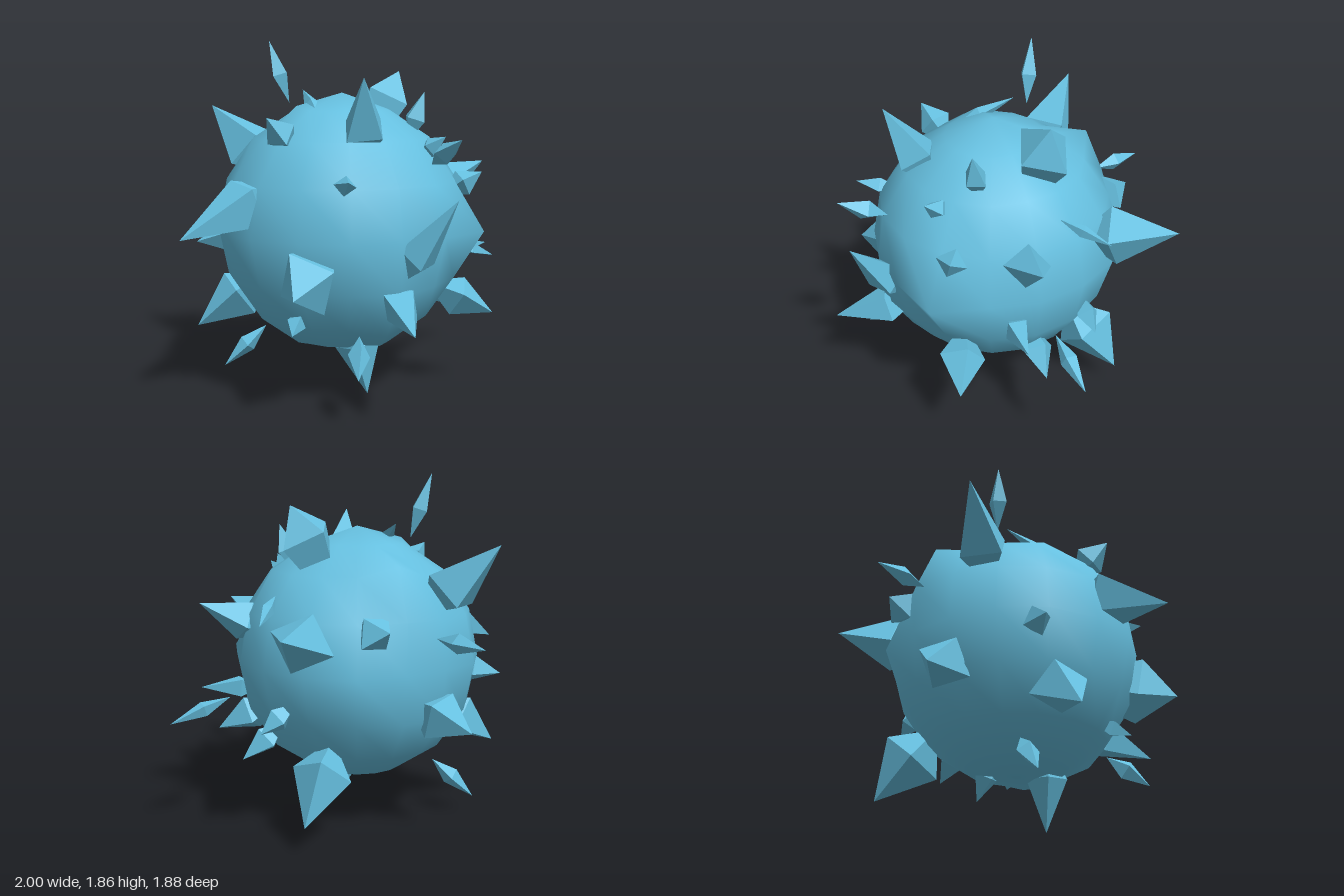
import * as THREE from 'three';
import { mergeVertices } from 'three/addons/utils/BufferGeometryUtils.js';

const CENTRE = new THREE.Vector3(-0.05, 0.885, 0.04);
const RADIUS = 0.66;

// Each row: tip x, y, z, base x, y, z, half width
const largeSpikes = [
  [-0.2, 1.66, 0.57, -0.12, 1.39, 0.42, 0.13],
  [0.8, 1.2, 0.12, 0.55, 1.09, 0.1, 0.12],
  [0.62, 1.12, -0.7, 0.42, 1.05, -0.42, 0.17],
  [-0.55, 1.51, -0.61, -0.37, 1.26, -0.4, 0.16],
  [-1, 0.9, 0.23, -0.61, 1.06, 0.17, 0.15],
  [-0.8, 0.37, -0.16, -0.57, 0.54, -0.11, 0.15],
  [-0.01, 0, 0.26, -0.06, 0.29, 0.23, 0.12],
  [0.45, 0.145, -0.5, 0.3, 0.38, -0.36, 0.17],
  [0.14, 1.1, 0.87, 0.03, 0.79, 0.66, 0.11],
  [-0.13, 0.5, 0.94, -0.04, 0.58, 0.64, 0.11],
  [-0.36, 0.59, -0.7, -0.25, 0.66, -0.53, 0.15],
  [0.63, 0.42, 0.48, 0.44, 0.52, 0.4, 0.12],
];
const smallSpikes = [
  [0.31, 1.59, 0.28, 0.27, 1.44, 0.25, 0.07],
  [0.62, 0.37, 0, 0.48, 0.48, 0, 0.09],
  [0.79, 0.74, 0.18, 0.57, 0.73, 0.16, 0.07],
  [0.6, 0.58, -0.28, 0.5, 0.65, -0.27, 0.07],
  [0.54, 1.18, 0.48, 0.44, 1.12, 0.44, 0.08],
  [0.29, 1.37, 0.52, 0.25, 1.31, 0.44, 0.055],
  [-0.35, 1.19, 0.71, -0.31, 1.16, 0.59, 0.055],
  [-0.51, 0.42, 0.42, -0.45, 0.46, 0.34, 0.055],
  [-0.57, 1.47, 0.27, -0.47, 1.38, 0.22, 0.09],
  [0.16, 0.15, -0.06, 0.1, 0.28, -0.04, 0.07],
  [-0.75, 0.79, -0.31, -0.6, 0.82, -0.25, 0.08],
  [0.08, 1.12, -0.68, 0.11, 1.1, -0.56, 0.11],
  [0.61, 1.13, -0.33, 0.52, 1.2, -0.2, 0.035],
  [-0.2, 1.6, -0.13, -0.23, 1.52, 0.06, 0.04],
];
const blockCrystals = [
  [0.37, 1.7, -0.09, 0.24, 1.44, -0.09, 0.165],
  [-0.61, 0.66, 0.67, -0.39, 0.72, 0.43, 0.17],
];
const looseCrystals = [
  [-0.33, 1.86, -0.28, -0.24, 1.53, -0.22, 0.055],
  [-0.62, 0.09, -0.27, -0.4, 0.31, -0.2, 0.055],
  [1, 0.61, -0.03, 0.68, 0.72, -0.01, 0.045],
  [0.13, 1.38, 0.9, 0.12, 1.25, 0.66, 0.06],
  [-0.31, 0.26, 0.73, -0.2, 0.41, 0.53, 0.06],
  [-0.28, 1.06, -0.94, -0.19, 1.07, -0.63, 0.05],
];

// Uneven corners of the body: compass angle from +x towards +z, elevation, radius
const bodyCorners = [
  [45, 0, 0.765], [67.5, 0, 0.675], [90, 0, 0.65], [135, 0, 0.645], [157.5, 0, 0.67],
  [247.5, 0, 0.63], [270, 0, 0.64], [292.5, 0, 0.7], [315, 0, 0.68],
  [270, 45, 0.745], [270, 22.5, 0.69], [0, 90, 0.7], [0, -90, 0.64],
  [0, 45, 0.68], [0, 67.5, 0.67], [180, 67.5, 0.685], [180, 45, 0.645],
  [90, -22.5, 0.69], [90, -45, 0.7], [45, -67.5, 0.68], [67.5, -67.5, 0.68],
  [180, -67.5, 0.675],
];

// Four-sided double pyramid; 'belt' is where it is widest, from base (0) to tip (1)
function crystal(row, belt, root, roll, material) {
  const tip = new THREE.Vector3(row[0], row[1], row[2]);
  const base = new THREE.Vector3(row[3], row[4], row[5]);
  const axis = tip.clone().sub(base);
  const length = axis.length();
  const geometry = new THREE.OctahedronGeometry(1, 0);
  const p = geometry.attributes.position;
  for (let i = 0; i < p.count; i++) {
    const y = p.getY(i);
    const up = y > 0 ? y * length * (1 - belt) : y * (length * belt + root);
    p.setXYZ(i, p.getX(i) * row[6], belt * length + up, p.getZ(i) * row[6] * 0.9);
  }
  geometry.rotateY(roll);
  geometry.computeVertexNormals();
  const mesh = new THREE.Mesh(geometry, material);
  mesh.position.copy(base);
  mesh.quaternion.setFromUnitVectors(new THREE.Vector3(0, 1, 0), axis.normalize());
  return mesh;
}

// Smooth-shaded low-poly ball with its uneven corners
function bodyGeometry() {
  const rad = Math.PI / 180;
  const corners = bodyCorners.map(([az, el, r]) => ({
    dir: new THREE.Vector3(
      Math.cos(az * rad) * Math.cos(el * rad), Math.sin(el * rad), Math.sin(az * rad) * Math.cos(el * rad)),
    r,
  }));
  let geometry = new THREE.SphereGeometry(1, 16, 8);
  geometry.deleteAttribute('normal');
  geometry.deleteAttribute('uv');
  geometry = mergeVertices(geometry, 1e-4);
  const p = geometry.attributes.position;
  const v = new THREE.Vector3();
  for (let i = 0; i < p.count; i++) {
    v.fromBufferAttribute(p, i);
    const corner = corners.find((c) => c.dir.distanceTo(v) < 0.02);
    v.multiplyScalar(corner ? corner.r : RADIUS);
    p.setXYZ(i, v.x, v.y, v.z);
  }
  geometry.computeVertexNormals();
  return geometry;
}

export function createModel() {
  const model = new THREE.Group();
  const blue = new THREE.MeshStandardMaterial({ color: 0x66c0e0 });
  blue.name = 'skyBlue';

  const body = new THREE.Mesh(bodyGeometry(), blue);
  body.name = 'body';
  body.position.copy(CENTRE);
  model.add(body);

  // Name, rows, belt position, depth buried below the base
  const sets = [
    ['largeSpikes', largeSpikes, 0.06, 0.18],
    ['smallSpikes', smallSpikes, 0.06, 0.12],
    ['blockCrystals', blockCrystals, 0.4, 0.4],
    ['looseCrystals', looseCrystals, 0.45, 0],
  ];
  for (const [name, rows, belt, root] of sets) {
    const group = new THREE.Group();
    group.name = name;
    rows.forEach((row, i) => {
      const mesh = crystal(row, belt, root, i * 0.9 + 0.4, blue);
      mesh.name = name.slice(0, -1) + (i + 1);
      group.add(mesh);
    });
    model.add(group);
  }
  return model;
}
